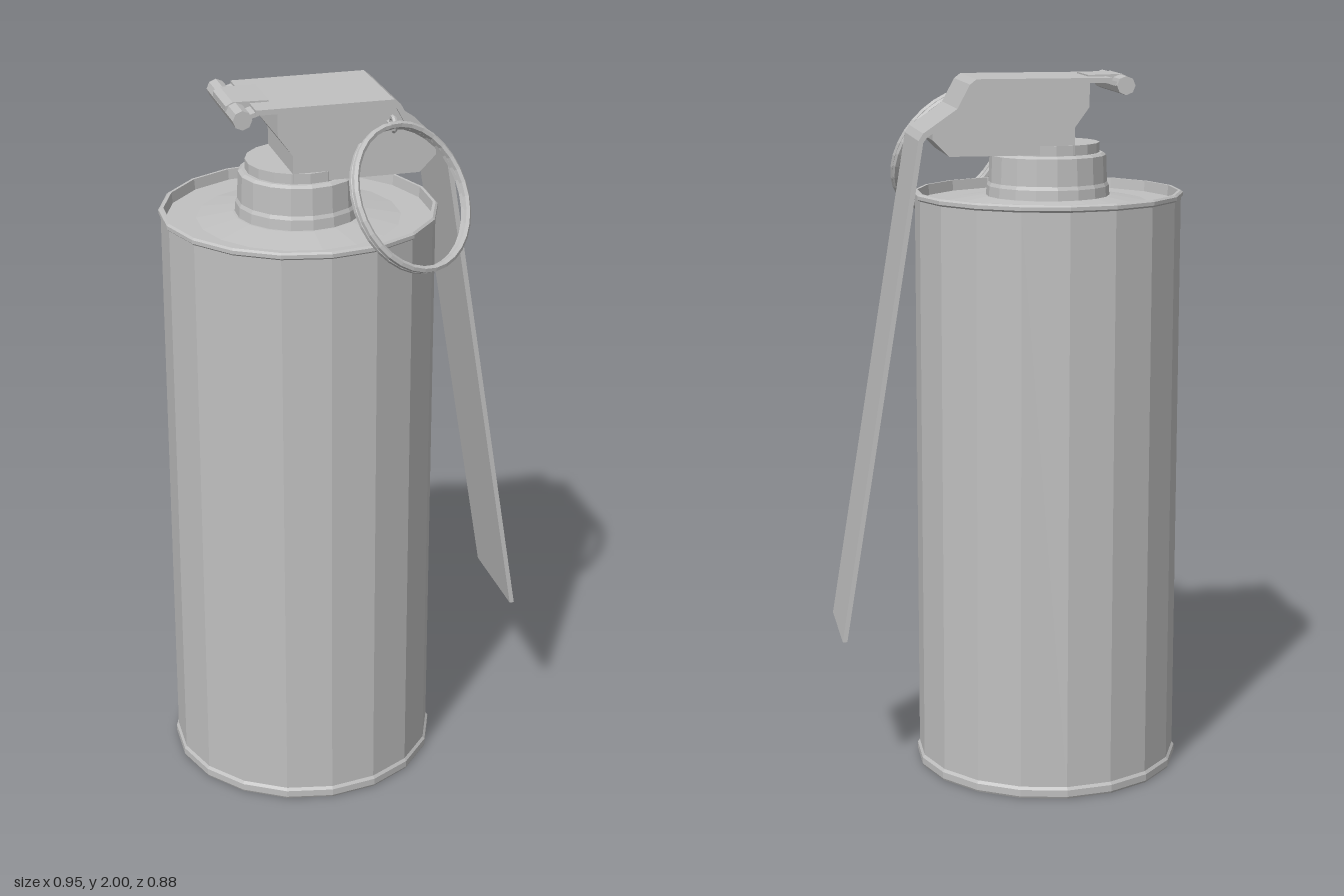
import * as THREE from 'three';

const metal = new THREE.MeshStandardMaterial({ color: 0xc0c0c0, flatShading: true });
metal.name = 'grey metal';

function add(parent, name, geometry) {
  const mesh = new THREE.Mesh(geometry, metal);
  mesh.name = name;
  parent.add(mesh);
  return mesh;
}

function lathe(points) {
  return new THREE.LatheGeometry(points.map(p => new THREE.Vector2(...p)), 18);
}

// Side profile (x, y) extruded evenly across z
function slab(points, width) {
  const shape = new THREE.Shape(points.map(p => new THREE.Vector2(...p)));
  const g = new THREE.ExtrudeGeometry(shape, { depth: width, bevelEnabled: false });
  return g.translate(0, 0, -width / 2);
}

function rod(radius, length, sides) {
  return new THREE.CylinderGeometry(radius, radius, length, sides).rotateX(Math.PI / 2);
}

export function createModel() {
  const model = new THREE.Group();
  model.name = 'canister';

  const core = new THREE.Group();
  core.name = 'canisterBody';
  core.position.set(-0.099, 0, -0.0625);
  model.add(core);

  // Body with thin rims, hollow conical base and dished top
  add(core, 'body', lathe([
    [0, 0.155], [0.28, 0.04], [0.358, 0.03], [0.364, 0], [0.378, 0], [0.381, 0.006], [0.381, 0.025], [0.375, 0.033],
    [0.375, 1.655], [0.381, 1.66], [0.381, 1.67], [0.375, 1.675], [0.367, 1.675],
    [0.364, 1.645], [0.28, 1.645], [0.18, 1.662], [0, 1.662],
  ]));

  // Threaded neck under the head
  add(core, 'neck', lathe([
    [0, 1.65], [0.175, 1.65], [0.172, 1.69], [0.167, 1.7], [0.164, 1.775],
    [0.155, 1.782], [0.145, 1.782], [0.145, 1.81], [0, 1.81],
  ]));

  // Head and lever share one axis, turned toward the front left
  const head = new THREE.Group();
  head.name = 'head';
  head.rotation.y = -0.67;
  core.add(head);

  add(head, 'headBlock', slab([
    [-0.09, 1.985], [-0.09, 1.915], [-0.05, 1.86], [-0.05, 1.785], [0.3, 1.785],
    [0.345, 1.83], [0.345, 1.852], [0.27, 1.905], [0.235, 1.97], [0.225, 1.985],
  ], 0.272));

  // Bent safety lever
  add(head, 'lever', slab([
    [-0.15, 1.994], [0.225, 1.994], [0.243, 1.98], [0.278, 1.915], [0.372, 1.85], [0.385, 1.83],
    [0.614, 0.42], [0.601, 0.42], [0.372, 1.825], [0.362, 1.838], [0.267, 1.905],
    [0.232, 1.968], [0.22, 1.98], [-0.15, 1.98],
  ], 0.29));

  // Hinge tab wrapped over the hinge rod
  add(head, 'hingeTab', slab([
    [-0.098, 1.998], [-0.195, 2], [-0.214, 1.99], [-0.214, 1.975], [-0.098, 1.978],
  ], 0.15));
  add(head, 'hingeRod', rod(0.026, 0.31, 8)).position.set(-0.188, 1.973, 0);
  for (const side of [-1, 1]) {
    const ear = add(head, 'hingeEar', new THREE.BoxGeometry(0.05, 0.012, 0.06));
    ear.position.set(-0.16, 1.978, side * 0.11);
    ear.rotation.z = 0.3;
  }

  // Safety pin and its eye
  add(head, 'pin', rod(0.01, 0.16, 6)).position.set(0.215, 1.93, 0.08);
  const eye = add(head, 'pinEye', new THREE.TorusGeometry(0.018, 0.007, 6, 10));
  eye.position.set(0.215, 1.935, 0.168);
  eye.rotation.y = Math.PI / 2;

  // Split pull ring: a tilted coil of almost two turns
  const across = new THREE.Vector3(0.989, 0, 0.148);
  const down = new THREE.Vector3(-0.07, -0.88, 0.47).normalize();
  const normal = new THREE.Vector3().crossVectors(across, down);
  const coil = [];
  for (let i = 0; i <= 46; i++) {
    const a = -Math.PI / 2 + (i / 24) * Math.PI * 2;
    coil.push(new THREE.Vector3(-0.082, 1.764, 0.296)
      .addScaledVector(across, 0.19 * Math.cos(a))
      .addScaledVector(down, 0.195 * Math.sin(a))
      .addScaledVector(normal, (i / 46 - 0.5) * 0.022));
  }
  add(model, 'pullRing', new THREE.TubeGeometry(new THREE.CatmullRomCurve3(coil), 60, 0.01, 6, false));

  return model;
}
